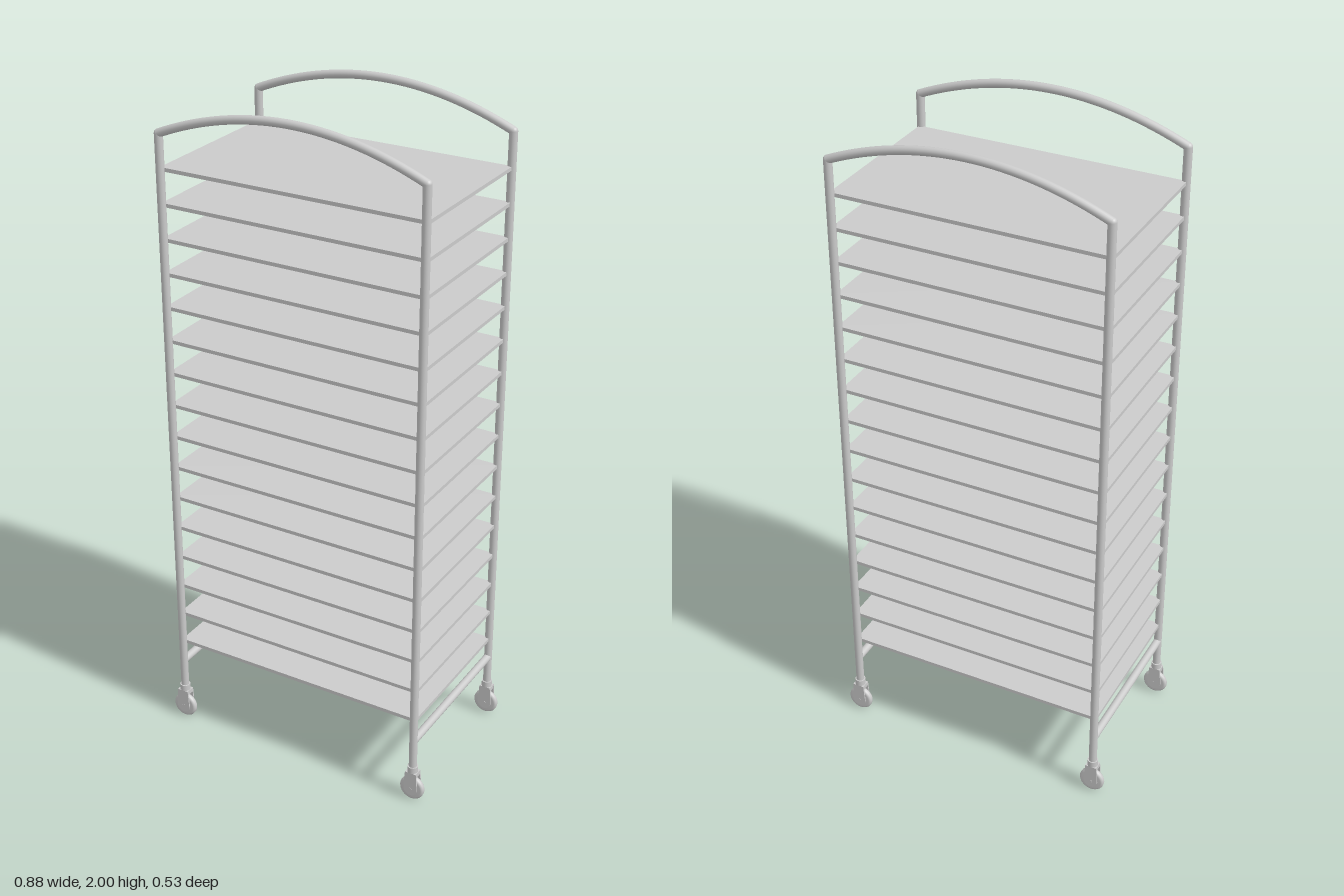
import * as THREE from 'three';

const mat = new THREE.MeshStandardMaterial({ color: 0xcccccc });
const X = 0.404, Z = 0.247, R = 0.0122, POST_TOP = 1.9;

function add(parent, name, geometry, x = 0, y = 0, z = 0) {
  const mesh = new THREE.Mesh(geometry, mat);
  mesh.name = name;
  mesh.position.set(x, y, z);
  parent.add(mesh);
  return mesh;
}

// Swivel caster: stem, crown, two fork cheeks and a wheel
function makeCaster() {
  const caster = new THREE.Group();
  caster.name = 'caster';
  add(caster, 'stem', new THREE.CylinderGeometry(0.016, 0.016, 0.02, 20), 0, 0.107, 0);
  add(caster, 'crown', new THREE.BoxGeometry(0.036, 0.014, 0.029), 0, 0.091, 0);

  const cheek = new THREE.Shape();
  cheek.moveTo(-0.018, 0.098);
  cheek.lineTo(-0.022, 0.04);
  cheek.absarc(0, 0.04, 0.022, Math.PI, Math.PI * 2, false);
  cheek.lineTo(0.018, 0.098);
  const cheekGeo = new THREE.ExtrudeGeometry(cheek, { depth: 0.004, bevelEnabled: false, curveSegments: 12 });
  for (const z of [-0.015, 0.011]) add(caster, 'forkCheek', cheekGeo, 0, 0, z);

  // Wheel with rounded tread, turned about its axle
  const profile = [[0, -0.01], [0.031, -0.01], [0.036, -0.008], [0.0385, -0.004],
    [0.0385, 0.004], [0.036, 0.008], [0.031, 0.01], [0, 0.01]].map(p => new THREE.Vector2(...p));
  add(caster, 'wheel', new THREE.LatheGeometry(profile, 32), 0, 0.0385, 0).rotation.x = Math.PI / 2;
  add(caster, 'axle', new THREE.CylinderGeometry(0.006, 0.006, 0.032, 12), 0, 0.0385, 0).rotation.x = Math.PI / 2;
  return caster;
}

export function createModel() {
  const rack = new THREE.Group();
  rack.name = 'trayRack';

  // Front and back frames: two posts joined by an arched handle
  const bottom = 0.11;
  const postGeo = new THREE.CylinderGeometry(R, R, POST_TOP - bottom, 20);
  const jointGeo = new THREE.SphereGeometry(R, 20, 12);
  const arch = new THREE.QuadraticBezierCurve3(
    new THREE.Vector3(-X, POST_TOP, 0),
    new THREE.Vector3(0, 2 * (2 - R) - POST_TOP, 0),
    new THREE.Vector3(X, POST_TOP, 0));
  const archGeo = new THREE.TubeGeometry(arch, 32, R, 16, false);
  for (const z of [-Z, Z]) {
    const frame = new THREE.Group();
    frame.name = z > 0 ? 'frontFrame' : 'backFrame';
    frame.position.z = z;
    for (const x of [-X, X]) {
      add(frame, 'post', postGeo, x, (POST_TOP + bottom) / 2, 0);
      add(frame, 'postJoint', jointGeo, x, POST_TOP, 0);
      const caster = makeCaster();
      caster.position.x = x;
      frame.add(caster);
    }
    add(frame, 'archedHandle', archGeo);
    rack.add(frame);
  }

  // Lower tubes tying the frames together at each side
  const tieGeo = new THREE.CylinderGeometry(R, R, 2 * Z, 20);
  for (const x of [-X, X]) add(rack, 'sideTie', tieGeo, x, 0.206, 0).rotation.x = Math.PI / 2;

  // Evenly spaced shelves
  const shelfGeo = new THREE.BoxGeometry(2 * X + 0.008, 0.011, 2 * Z - 0.008);
  const count = 16;
  for (let i = 0; i < count; i++) {
    add(rack, 'shelf', shelfGeo, 0, 0.275 + (1.798 - 0.275) * i / (count - 1), 0);
  }
  return rack;
}
